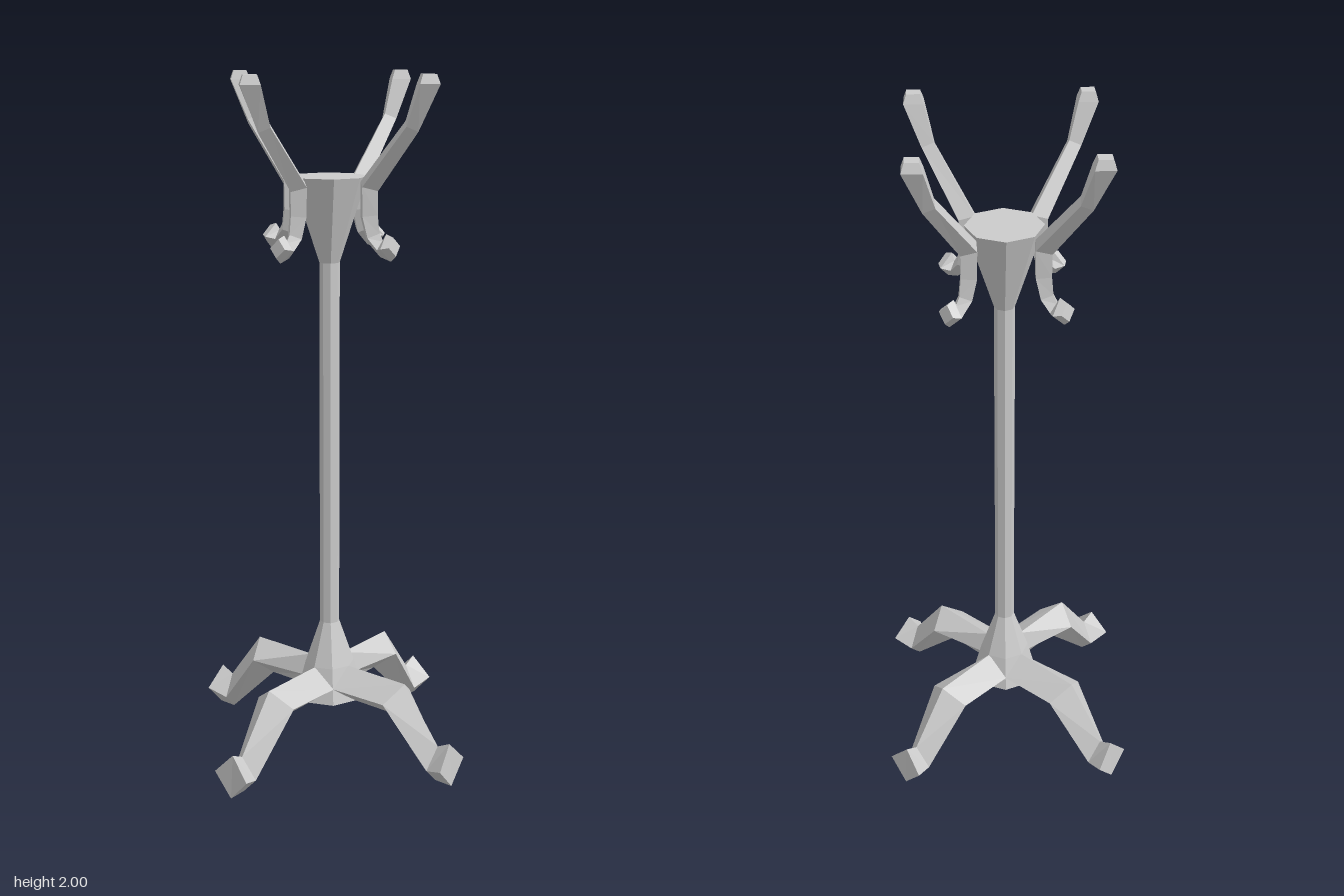
import * as THREE from 'three';

const material = new THREE.MeshStandardMaterial({ color: 0xcccccc, flatShading: true });

// Point in the diagonal plane: r outward, s sideways, y up
const diag = (r, s, y) => {
  const k = Math.SQRT1_2;
  return new THREE.Vector3((r + s) * k, y, (r - s) * k);
};

// Closed loft through four-cornered rings, mirrored by sx and sz
function loft(rings, sx, sz) {
  const pts = rings.flat().map(p => new THREE.Vector3(p.x * sx, p.y, p.z * sz));
  const tris = [];
  const quad = (a, b, c, d) => tris.push([a, b, c], [a, c, d]);
  const last = (rings.length - 1) * 4;
  for (let i = 0; i < last; i += 4)
    for (let j = 0; j < 4; j++) {
      const k = (j + 1) % 4;
      quad(i + j, i + k, i + 4 + k, i + 4 + j);
    }
  quad(3, 2, 1, 0);
  quad(last, last + 1, last + 2, last + 3);
  // Turn the faces outward if the enclosed volume is negative
  let volume = 0;
  for (const [a, b, c] of tris) volume += pts[a].dot(pts[b].clone().cross(pts[c]));
  const ordered = tris.flatMap(([a, b, c]) => (volume < 0 ? [a, c, b] : [a, b, c]));
  const geometry = new THREE.BufferGeometry().setFromPoints(ordered.map(i => pts[i]));
  geometry.computeVertexNormals();
  return geometry;
}

// Diamond rings set square to a path of [r, y, half width]
function diamondRings(path) {
  return path.map(([r, y, h], i) => {
    const dir = (a, b) => new THREE.Vector2(b[0] - a[0], b[1] - a[1]).normalize();
    const t = new THREE.Vector2();
    if (i > 0) t.add(dir(path[i - 1], path[i]));
    if (i < path.length - 1) t.add(dir(path[i], path[i + 1]));
    t.normalize();
    const nr = -t.y * h, ny = t.x * h;
    return [diag(r + nr, 0, y + ny), diag(r, h, y), diag(r - nr, 0, y - ny), diag(r, -h, y)];
  });
}

export function createModel() {
  const group = new THREE.Group();
  const add = (name, geometry) => {
    const mesh = new THREE.Mesh(geometry, material);
    mesh.name = name;
    group.add(mesh);
  };

  // Eight-sided pole with flared foot and head
  const profile = [[0, 0.165], [0.1, 0.165], [0.073, 0.27], [0.029, 0.4],
    [0.029, 1.48], [0.107, 1.72], [0, 1.72]];
  add('pole', new THREE.LatheGeometry(profile.map(p => new THREE.Vector2(...p)), 8));

  // Leg rings: top, side, bottom, side; the inner end hugs the pole
  const leg = [
    [new THREE.Vector3(0.05, 0.27, 0.05), new THREE.Vector3(0.075, 0.205, 0.045),
      new THREE.Vector3(0.06, 0.165, 0.06), new THREE.Vector3(0, 0.22, 0.105)],
    [diag(0.28, 0, 0.27), diag(0.25, 0.067, 0.22), diag(0.225, 0, 0.165), diag(0.25, -0.067, 0.22)],
    [diag(0.4, 0, 0.11), diag(0.39, 0.042, 0.045), diag(0.395, 0, 0), diag(0.39, -0.042, 0.045)],
    [diag(0.44, 0, 0.13), diag(0.45, 0.06, 0.067), diag(0.45, 0, 0), diag(0.45, -0.06, 0.067)],
  ];

  // Hook from the low knob, up past the pole head, to the high tip
  const hook = diamondRings([
    [0.225, 1.542, 0.026], [0.205, 1.538, 0.038], [0.182, 1.532, 0.022],
    [0.152, 1.562, 0.025], [0.138, 1.62, 0.03], [0.138, 1.7, 0.032],
    [0.277, 1.865, 0.025], [0.328, 1.975, 0.038], [0.33, 2, 0.026],
  ]);
  // Level the high tip
  [[1.975, 0.038], [2, 0.026]].forEach(([y, h], i) => {
    hook[7 + i] = [diag(0.328 - h, 0, y), diag(0.328, h, y), diag(0.328 + h, 0, y), diag(0.328, -h, y)];
  });

  for (const [side, sx] of [['Left', 1], ['Right', -1]])
    for (const [end, sz] of [['front', 1], ['back', -1]]) {
      add(`${end}${side}Leg`, loft(leg, sx, sz));
      add(`${end}${side}Hook`, loft(hook, sx, sz));
    }
  return group;
}
